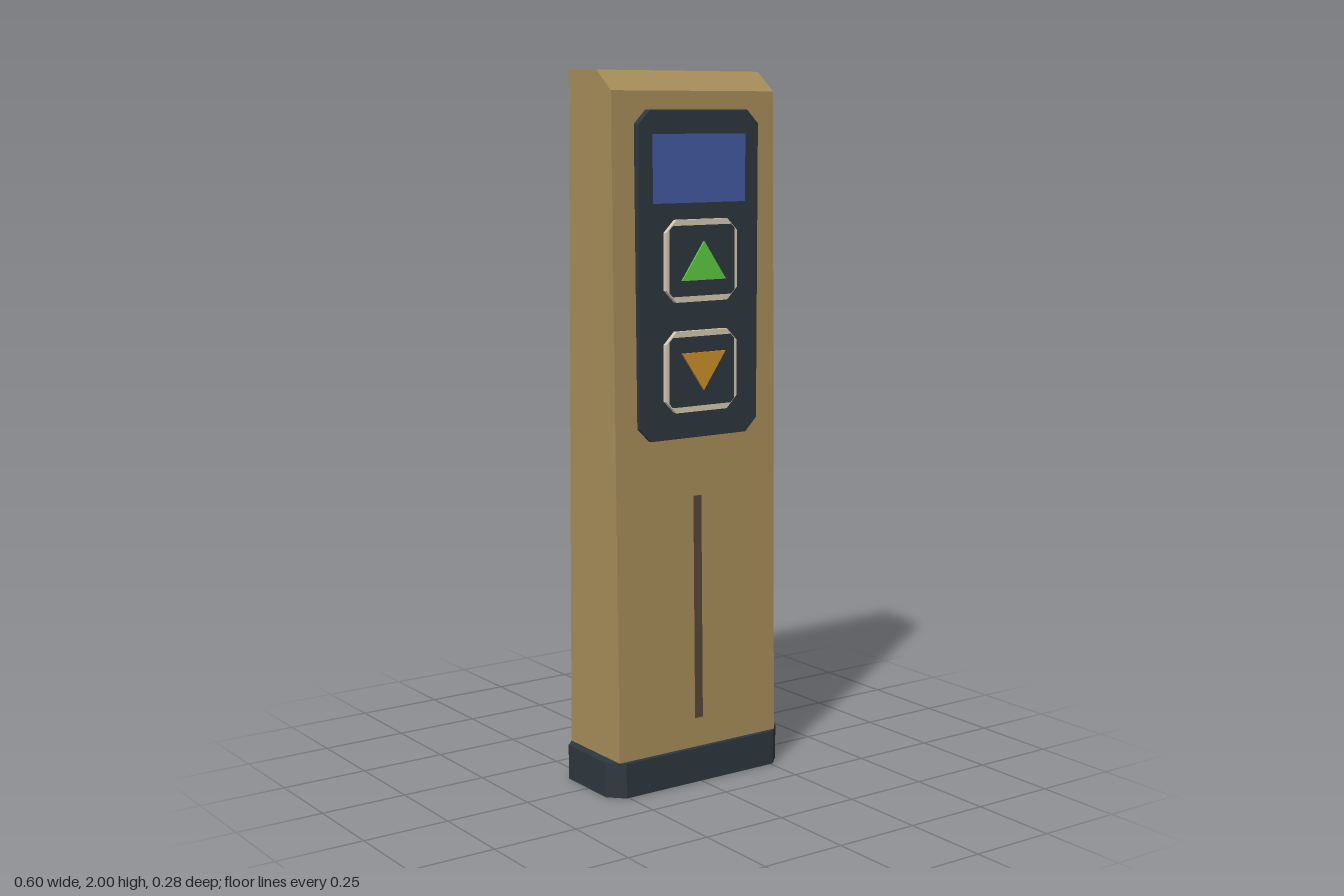
import * as THREE from 'three';

const material = (name, color) => {
  const m = new THREE.MeshStandardMaterial({ color });
  m.name = name;
  return m;
};

const polygon = (points) => new THREE.Shape(points.map(([x, y]) => new THREE.Vector2(x, y)));

const extrude = (shape, depth) =>
  new THREE.ExtrudeGeometry(shape, { depth, bevelEnabled: false });

// Rectangle with cut corners, centred on the origin
function chamferedRect(w, h, c) {
  const x = w / 2, y = h / 2;
  return polygon([
    [-x + c, -y], [x - c, -y], [x, -y + c], [x, y - c],
    [x - c, y], [-x + c, y], [-x, y - c], [-x, -y + c],
  ]);
}

export function createModel() {
  const bronze = material('bronze', 0xa68c58);
  const charcoal = material('charcoal', 0x2e373e);
  const cream = material('cream', 0xd6cab0);
  const blue = material('screen blue', 0x435aa2);
  const green = material('green', 0x5ccc3f);
  const orange = material('orange', 0xcc8f28);
  const brown = material('dark brown', 0x57463a);

  const model = new THREE.Group();
  model.name = 'controlPost';
  const add = (parent, name, geometry, mat, x = 0, y = 0, z = 0) => {
    const mesh = new THREE.Mesh(geometry, mat);
    mesh.name = name;
    mesh.position.set(x, y, z);
    parent.add(mesh);
    return mesh;
  };

  // Base slab with cut corners
  const baseGeometry = extrude(chamferedRect(0.6, 0.277, 0.042), 0.1).rotateX(-Math.PI / 2);
  add(model, 'base', baseGeometry, charcoal, 0, 0, -0.005);

  // Tapered post: side profile (z, y) swept across the width
  const profile = polygon([
    [-0.13, 0.1], [0.12, 0.1], [0.092, 1.945], [0.022, 2], [-0.115, 2],
  ]);
  const postGeometry = extrude(profile, 0.544).translate(0, 0, -0.272).rotateY(-Math.PI / 2);
  add(model, 'post', postGeometry, bronze);

  // Control panel and screen
  add(model, 'panel', extrude(chamferedRect(0.4, 0.9, 0.038), 0.025), charcoal, 0, 1.445, 0.092);
  add(model, 'screen', new THREE.BoxGeometry(0.31, 0.186, 0.004), blue, 0, 1.737, 0.117);

  // Up and down buttons, each with a raised arrow
  const arrow = polygon([[-0.074, -0.053], [0.074, -0.053], [0, 0.053]]);
  for (const [name, y, mat, turn] of [
    ['upButton', 1.487, green, 0],
    ['downButton', 1.182, orange, Math.PI],
  ]) {
    const button = new THREE.Group();
    button.name = name;
    button.position.y = y;
    add(button, 'buttonRim', extrude(chamferedRect(0.24, 0.225, 0.034), 0.015), cream, 0, 0, 0.115);
    add(button, 'buttonFace', extrude(chamferedRect(0.22, 0.193, 0.012), 0.004), charcoal, 0, 0, 0.128);
    add(button, 'arrow', extrude(arrow, 0.005), mat, 0, 0, 0.136).rotation.z = turn;
    model.add(button);
  }

  // Narrow slot strip lying on the sloping front
  const strip = add(model, 'slot', new THREE.BoxGeometry(0.026, 0.643, 0.004), brown, 0, 0.506, 0.114);
  strip.rotation.x = -Math.atan(0.028 / 1.845);

  return model;
}
